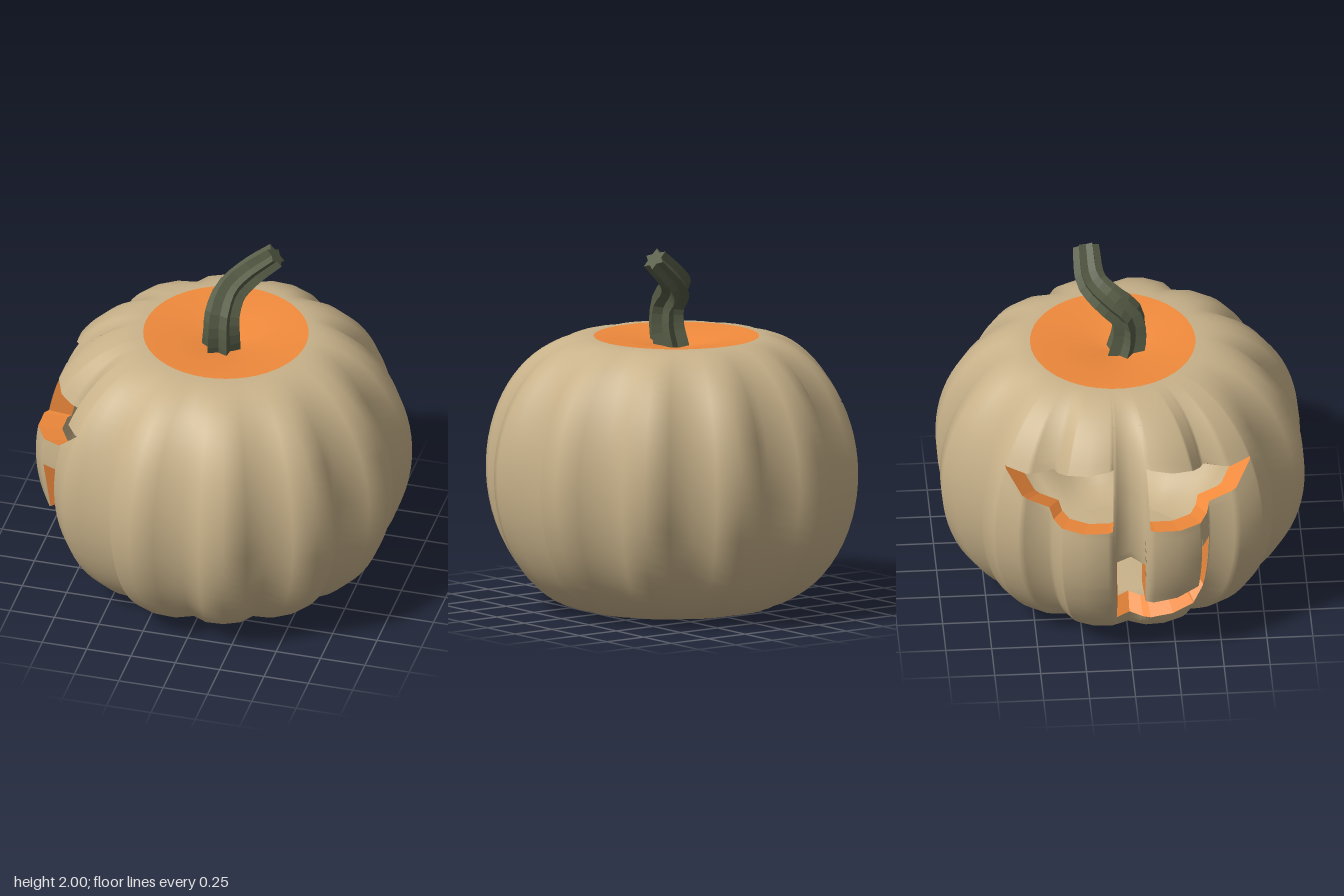
import * as THREE from 'three';
import { mergeVertices } from 'three/addons/utils/BufferGeometryUtils.js';

const TAN = 0xc8b28a, ORANGE = 0xf08a3c, GREEN = 0x575d47;
const MID = 0.745;                                  // half height of the gourd
const LOBE = [0.885, 0.998, 1.023, 0.998];          // radii across one rib
const INNER = 0.87;                                 // scale of the hollow

// Openings as [angle, bottom, top]; angle in degrees from -x towards -z
const eyeHalf = [[6, 1.07, 1.07], [6.05, 0.9, 1.23], [22, 0.9, 1.19], [27, 0.9, 1.16], [36, 1.0, 1.14], [46, 1.15, 1.15]];
const eyes = [...eyeHalf.map(([a, b, t]) => [-a, b, t]).reverse(), ...eyeHalf];
const mouth = [
  [-28.05, 0.5, 0.5], [-28, 0.38, 0.74], [-23, 0.31, 0.74], [-22.9, 0.31, 0.46],
  [-5, 0.22, 0.38], [-4.5, 0.22, 0.66], [5, 0.22, 0.69], [5.05, 0.5, 0.5],
];

function lookup(table, angle, column) {
  if (angle <= table[0][0]) return table[0][column];
  for (let i = 1; i < table.length; i++) {
    const p = table[i - 1], q = table[i];
    if (angle <= q[0]) return THREE.MathUtils.lerp(p[column], q[column], (angle - p[0]) / (q[0] - p[0]));
  }
  return table[table.length - 1][column];
}

// Point on the ribbed wall; v runs 0 to 1 from bottom rim to top rim
function wallPoint(angle, v, scale) {
  const k = (angle + 180) / 7.5, i = Math.floor(k);
  const lobe = THREE.MathUtils.lerp(LOBE[i % 4], LOBE[(i + 1) % 4], k - i);
  const r = (0.45 + (lobe - 0.45) * Math.sin(Math.PI * v)) * scale;
  const a = THREE.MathUtils.degToRad(angle);
  return [-r * Math.cos(a), MID - MID * scale * Math.cos(Math.PI * v), -r * Math.sin(a) - 0.04 * v ** 8];
}
const heightToV = (y) => Math.acos(1 - y / MID) / Math.PI;

const angles = [...new Set([
  ...Array.from({ length: 49 }, (_, i) => -180 + i * 7.5),
  ...eyes.map((e) => e[0]), ...mouth.map((m) => m[0]),
])].sort((a, b) => a - b);

function material(color, side = THREE.FrontSide, flatShading = false) {
  return new THREE.MeshStandardMaterial({ color, side, flatShading });
}

function mesh(name, geometry, mat) {
  const m = new THREE.Mesh(geometry, mat);
  m.name = name;
  return m;
}

function surface(positions, weld) {
  let g = new THREE.BufferGeometry();
  g.setAttribute('position', new THREE.Float32BufferAttribute(positions, 3));
  if (weld) g = mergeVertices(g, 1e-5);
  g.computeVertexNormals();
  return g;
}

const quad = (out, a, b, c, d) => out.push(...a, ...b, ...c, ...a, ...c, ...d);

// Three stacked bands that part around the mouth and the eyes
function shell(scale, inward) {
  const out = [];
  const bands = [
    [() => 0, (a) => heightToV(lookup(mouth, a, 1)), 12],
    [(a) => heightToV(lookup(mouth, a, 2)), (a) => heightToV(lookup(eyes, a, 1)), 10],
    [(a) => heightToV(lookup(eyes, a, 2)), () => 1, 12],
  ];
  for (const [low, high, rows] of bands) {
    const at = (a, j) => wallPoint(a, THREE.MathUtils.lerp(low(a), high(a), j / rows), scale);
    for (let i = 0; i < angles.length - 1; i++) {
      for (let j = 0; j < rows; j++) {
        const a = at(angles[i], j), b = at(angles[i], j + 1);
        const c = at(angles[i + 1], j + 1), d = at(angles[i + 1], j);
        if (inward) quad(out, a, d, c, b);
        else quad(out, a, b, c, d);
      }
    }
  }
  return surface(out, true);
}

// Thickness of the flesh around an opening
function cutEdges(table) {
  const out = [];
  const inside = angles.filter((a) => a >= table[0][0] && a <= table[table.length - 1][0]);
  for (let i = 0; i < inside.length - 1; i++) {
    const [a, b] = [inside[i], inside[i + 1]];
    const open = (t) => lookup(table, t, 2) - lookup(table, t, 1) > 0.001;
    if (!open(a) && !open(b)) continue;
    for (const column of [1, 2]) {
      const va = heightToV(lookup(table, a, column)), vb = heightToV(lookup(table, b, column));
      quad(out, wallPoint(a, va, 1), wallPoint(b, vb, 1), wallPoint(b, vb, INNER), wallPoint(a, va, INNER));
    }
  }
  return surface(out, false);
}

// Shallow dimpled disc
function dish(points) {
  return new THREE.LatheGeometry(points.map(([r, y]) => new THREE.Vector2(r, y)), 48);
}

// Star-section stem swept along a bent path
function buildStem() {
  const group = new THREE.Group();
  group.name = 'stem';
  const path = new THREE.CatmullRomCurve3([
    [-0.01, 1.4, 0.02], [0, 1.54, 0.05], [0, 1.66, 0.035],
    [0.02, 1.75, -0.06], [0.1, 1.825, -0.15], [0.245, 1.955, -0.17],
  ].map((p) => new THREE.Vector3(...p)));
  const steps = 14, sides = 12;
  const g = new THREE.TubeGeometry(path, steps, 1, sides, false);
  const pos = g.attributes.position, p = new THREE.Vector3();
  for (let i = 0; i < pos.count; i++) {
    const ring = Math.floor(i / (sides + 1)), k = i % (sides + 1);
    const c = path.getPointAt(ring / steps);
    const r = (k % 2 ? 0.068 : 0.112) * (1 - 0.36 * ring / steps);
    p.fromBufferAttribute(pos, i).sub(c).multiplyScalar(r).add(c);
    pos.setXYZ(i, p.x, p.y, p.z);
  }
  const end = new THREE.CircleGeometry(1, sides), e = end.attributes.position;
  const tip = path.getPointAt(1);
  e.setXYZ(0, tip.x, tip.y, tip.z);
  for (let k = 0; k <= sides; k++) {
    p.fromBufferAttribute(pos, steps * (sides + 1) + k);
    e.setXYZ(k + 1, p.x, p.y, p.z);
  }
  end.computeVertexNormals();
  const mat = material(GREEN, THREE.DoubleSide, true);
  group.add(mesh('stemStalk', g, mat), mesh('stemEnd', end, mat));
  return group;
}

export function createModel() {
  const model = new THREE.Group();
  model.name = 'carvedPumpkin';
  const skin = material(TAN), both = material(TAN, THREE.DoubleSide);
  const flesh = material(ORANGE, THREE.DoubleSide);

  model.add(mesh('ribbedSkin', shell(1, false), skin));
  model.add(mesh('hollowInside', shell(INNER, true), skin));
  model.add(mesh('eyeEdges', cutEdges(eyes), flesh));
  model.add(mesh('mouthEdges', cutEdges(mouth), flesh));

  // Top and bottom discs, with the inner floor and ceiling
  const lid = mesh('lid', dish([[0.462, 1.488], [0.3, 1.475], [0.15, 1.45], [0, 1.42]]), flesh);
  lid.position.z = -0.04;
  const ceiling = mesh('innerCeiling', dish([[0.4, 1.393], [0, 1.36]]), both);
  ceiling.position.z = -0.04;
  model.add(lid, ceiling);
  model.add(mesh('base', dish([[0, 0.06], [0.15, 0.035], [0.3, 0.01], [0.451, 0]]), both));
  model.add(mesh('innerFloor', dish([[0, 0.12], [0.4, 0.097]]), both));

  model.add(buildStem());
  return model;
}
